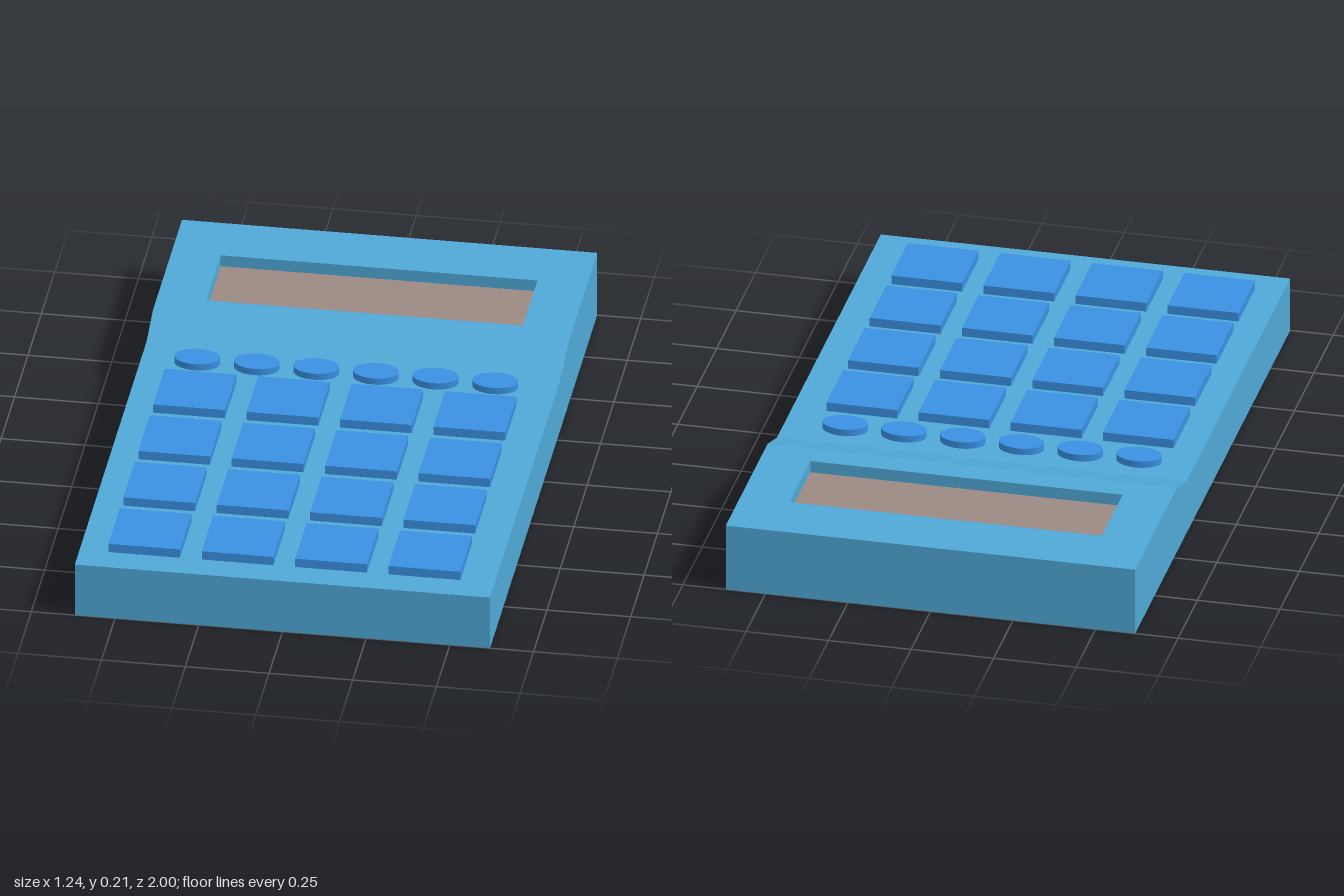
import * as THREE from 'three';

const HALF_WIDTH = 0.62, DECK = 0.172, TOP = 0.212;

const paint = (color) => new THREE.MeshStandardMaterial({ color });

function rectangle(path, x0, y0, x1, y1) {
  path.moveTo(x0, y0);
  path.lineTo(x1, y0);
  path.lineTo(x1, y1);
  path.lineTo(x0, y1);
  path.closePath();
  return path;
}

function addMesh(parent, name, geometry, material, x = 0, y = 0, z = 0) {
  const mesh = new THREE.Mesh(geometry, material);
  mesh.name = name;
  mesh.position.set(x, y, z);
  parent.add(mesh);
  return mesh;
}

// Raised housing: a frame with a window, its lower front edge pushed out into a ramp
function housingGeometry() {
  const frame = rectangle(new THREE.Shape(), -HALF_WIDTH, 0.46, HALF_WIDTH, 1);
  frame.holes.push(rectangle(new THREE.Path(), -0.474, 0.54, 0.472, 0.81));
  const geometry = new THREE.ExtrudeGeometry(frame, { depth: TOP - DECK, bevelEnabled: false });
  geometry.rotateX(-Math.PI / 2);
  const p = geometry.attributes.position;
  for (let i = 0; i < p.count; i++) {
    if (p.getY(i) < 0.01 && p.getZ(i) > -0.47) p.setZ(i, -0.34);
  }
  geometry.computeVertexNormals();
  return geometry;
}

export function createModel() {
  const model = new THREE.Group();
  model.name = 'calculator';
  const bodyPaint = paint(0x4fa8d6);
  const keyPaint = paint(0x3a90e2);

  // Body
  addMesh(model, 'base', new THREE.BoxGeometry(HALF_WIDTH * 2, DECK, 2), bodyPaint, 0, DECK / 2, 0);
  addMesh(model, 'displayHousing', housingGeometry(), bodyPaint, 0, DECK, 0);

  // Recessed display
  const screen = new THREE.PlaneGeometry(0.946, 0.27).rotateX(-Math.PI / 2);
  addMesh(model, 'screen', screen, paint(0x9c8a82), -0.001, DECK + 0.003, -0.675);

  // Square keys, four by four
  const squareKeys = new THREE.Group();
  squareKeys.name = 'squareKeys';
  model.add(squareKeys);
  const keyHeight = 0.028;
  const keyShape = new THREE.BoxGeometry(0.214, keyHeight, 0.214);
  for (let row = 0; row < 4; row++) {
    for (let column = 0; column < 4; column++) {
      addMesh(squareKeys, 'squareKey', keyShape, keyPaint,
        -0.427 + column * 0.279, DECK + keyHeight / 2, -0.033 + row * 0.279);
    }
  }

  // Row of oval function keys
  const ovalKeys = new THREE.Group();
  ovalKeys.name = 'ovalKeys';
  model.add(ovalKeys);
  const ovalHeight = 0.021;
  const ovalShape = new THREE.CylinderGeometry(1, 1, ovalHeight, 32).scale(0.068, 1, 0.046);
  for (let i = 0; i < 6; i++) {
    addMesh(ovalKeys, 'ovalKey', ovalShape, keyPaint, -0.453 + i * 0.178, DECK + ovalHeight / 2, -0.239);
  }

  return model;
}
